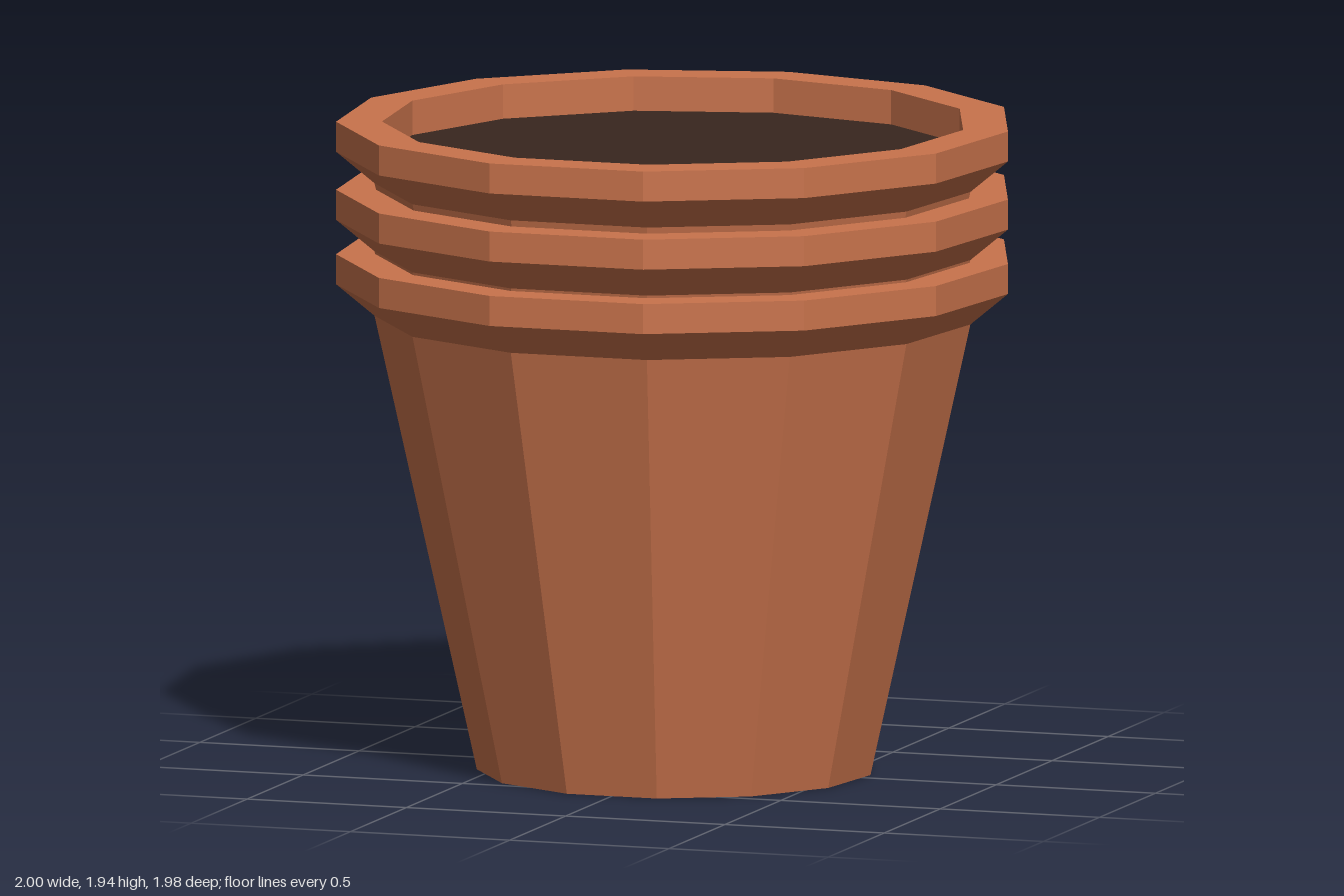
import * as THREE from 'three';

const SIDES = 13;
const BACK_SHIFT = 0.015; // centres the odd-sided outline front to back

// Faceted solid of revolution with one corner pointing straight back
function faceted(name, profile, material) {
  const points = profile.map(([r, y]) => new THREE.Vector2(r, y));
  const mesh = new THREE.Mesh(new THREE.LatheGeometry(points, SIDES, Math.PI), material);
  mesh.name = name;
  return mesh;
}

export function createModel() {
  const model = new THREE.Group();
  model.name = 'stackedFlowerPots';

  const clay = new THREE.MeshStandardMaterial({ color: 0xc9734c, flatShading: true });
  const soilColor = new THREE.MeshStandardMaterial({ color: 0x38261e, flatShading: true });

  // Nested pots, each lifted by its height in the stack
  [0, 0.193, 0.397].forEach((lift, i) => {
    const pot = new THREE.Group();
    pot.name = `pot${i + 1}`;
    pot.position.set(0, lift, BACK_SHIFT);

    // Closed base and tapered wall
    pot.add(faceted('body', [[0, 0], [0.59, 0], [0.893, 1.36]], clay));

    // Flared lip, upright band, flat top and inner wall
    pot.add(faceted('rim', [
      [0.893, 1.36], [1.007, 1.455], [1.007, 1.545], [0.871, 1.545], [0.871, 1.44],
    ], clay));

    // Only the uppermost pot is filled
    if (i === 2) pot.add(faceted('soil', [[0.871, 1.442], [0, 1.442]], soilColor));

    model.add(pot);
  });

  return model;
}
